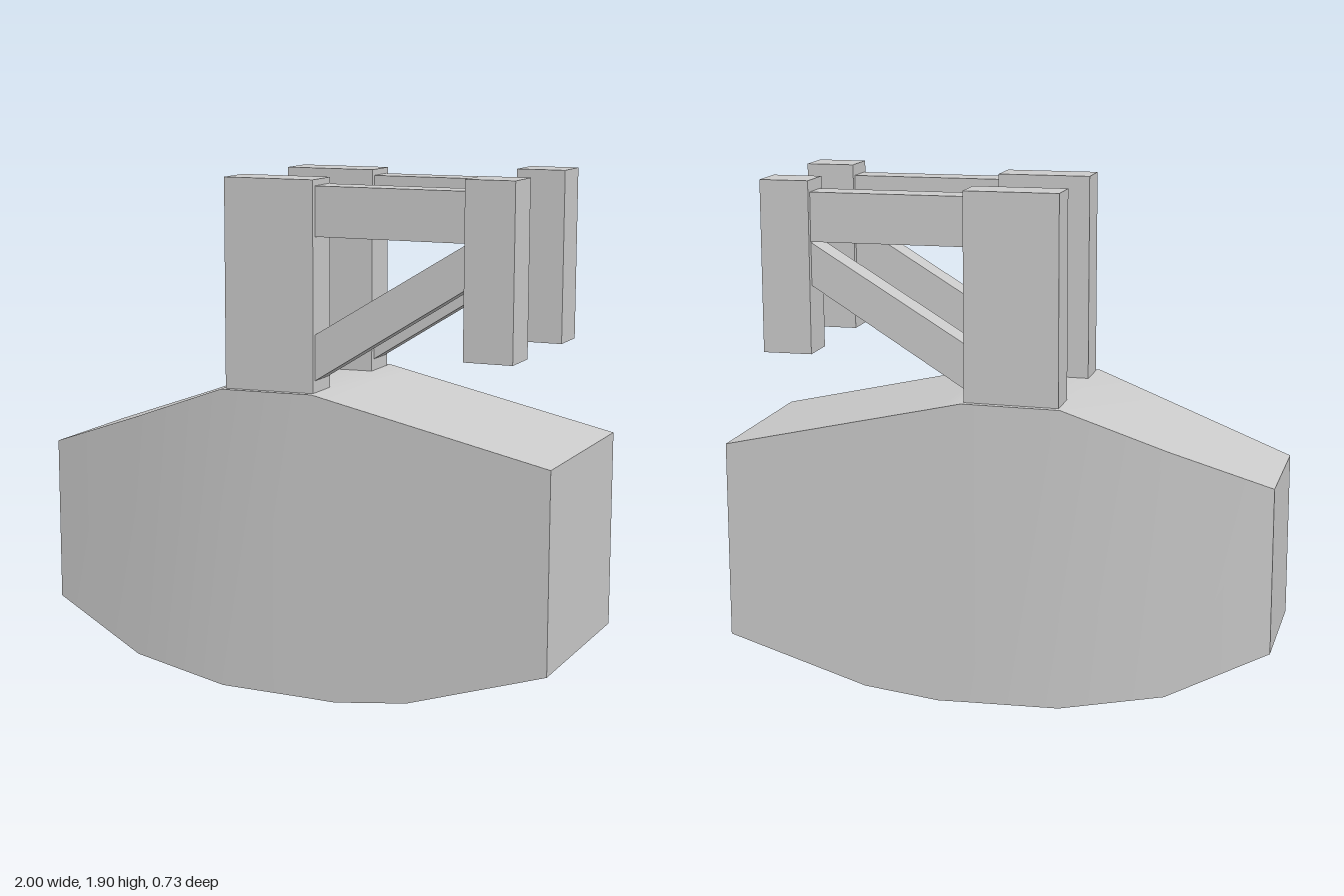
import * as THREE from 'three';
import { toCreasedNormals } from 'three/addons/utils/BufferGeometryUtils.js';

const material = new THREE.MeshStandardMaterial({ color: 0xcccccc });

// Body stations along x: [x, bottom y, top y, half depth]
const STATIONS = [
  [-1, 0.24, 0.85, 0.255],
  [-0.63, 0.07, 0.98, 0.322],
  [-0.25, 0.01, 1.12, 0.367],
  [0.11, 0.005, 1.125, 0.367],
  [0.2, 0.003, 1.105, 0.367],
  [0.48, 0.037, 1.044, 0.367],
  [1, 0.2, 0.93, 0.367],
];

// Four-cornered cross-sections joined lengthwise and closed at both ends
function bodyGeometry() {
  const positions = [];
  const index = [];
  for (const [x, bottom, top, half] of STATIONS) {
    positions.push(x, top, half, x, top, -half, x, bottom, -half, x, bottom, half);
  }
  const quad = (a, b, c, d) => index.push(a, b, c, a, c, d);
  const last = (STATIONS.length - 1) * 4;
  for (let s = 0; s < last; s += 4) {
    for (let i = 0; i < 4; i++) {
      const j = (i + 1) % 4;
      quad(s + i, s + 4 + i, s + 4 + j, s + j);
    }
  }
  quad(0, 1, 2, 3);
  quad(last, last + 3, last + 2, last + 1);
  const geometry = new THREE.BufferGeometry();
  geometry.setAttribute('position', new THREE.Float32BufferAttribute(positions, 3));
  geometry.setIndex(index);
  return toCreasedNormals(geometry, Math.PI / 6);
}

function addMesh(parent, name, geometry) {
  const mesh = new THREE.Mesh(geometry, material);
  mesh.name = name;
  parent.add(mesh);
  return mesh;
}

// Flat bar given by its side outline and depth, centred on z = 0
function addBar(parent, name, outline, depth) {
  const shape = new THREE.Shape(outline.map(([x, y]) => new THREE.Vector2(x, y)));
  const geometry = new THREE.ExtrudeGeometry(shape, { depth, bevelEnabled: false });
  geometry.translate(0, 0, -depth / 2);
  addMesh(parent, name, geometry);
}

const rect = (x0, y0, x1, y1) => [[x0, y0], [x1, y0], [x1, y1], [x0, y1]];

export function createModel() {
  const model = new THREE.Group();
  model.name = 'bracketedBlock';

  addMesh(model, 'body', bodyGeometry());

  // Matching frames: post, top beam, diagonal brace and hanging end block
  for (const side of [-1, 1]) {
    const frame = new THREE.Group();
    frame.name = side > 0 ? 'frontFrame' : 'backFrame';
    frame.position.z = side * 0.267;
    addBar(frame, 'post', rect(-0.24, 1.115, 0.105, 1.88), 0.15);
    addBar(frame, 'topBeam', rect(0.1, 1.68, 0.675, 1.858), 0.115);
    addBar(frame, 'brace', [[0.1, 1.165], [0.675, 1.525], [0.675, 1.68], [0.1, 1.33]], 0.11);
    addBar(frame, 'endBlock', rect(0.67, 1.275, 0.85, 1.9), 0.155);
    model.add(frame);
  }
  return model;
}
